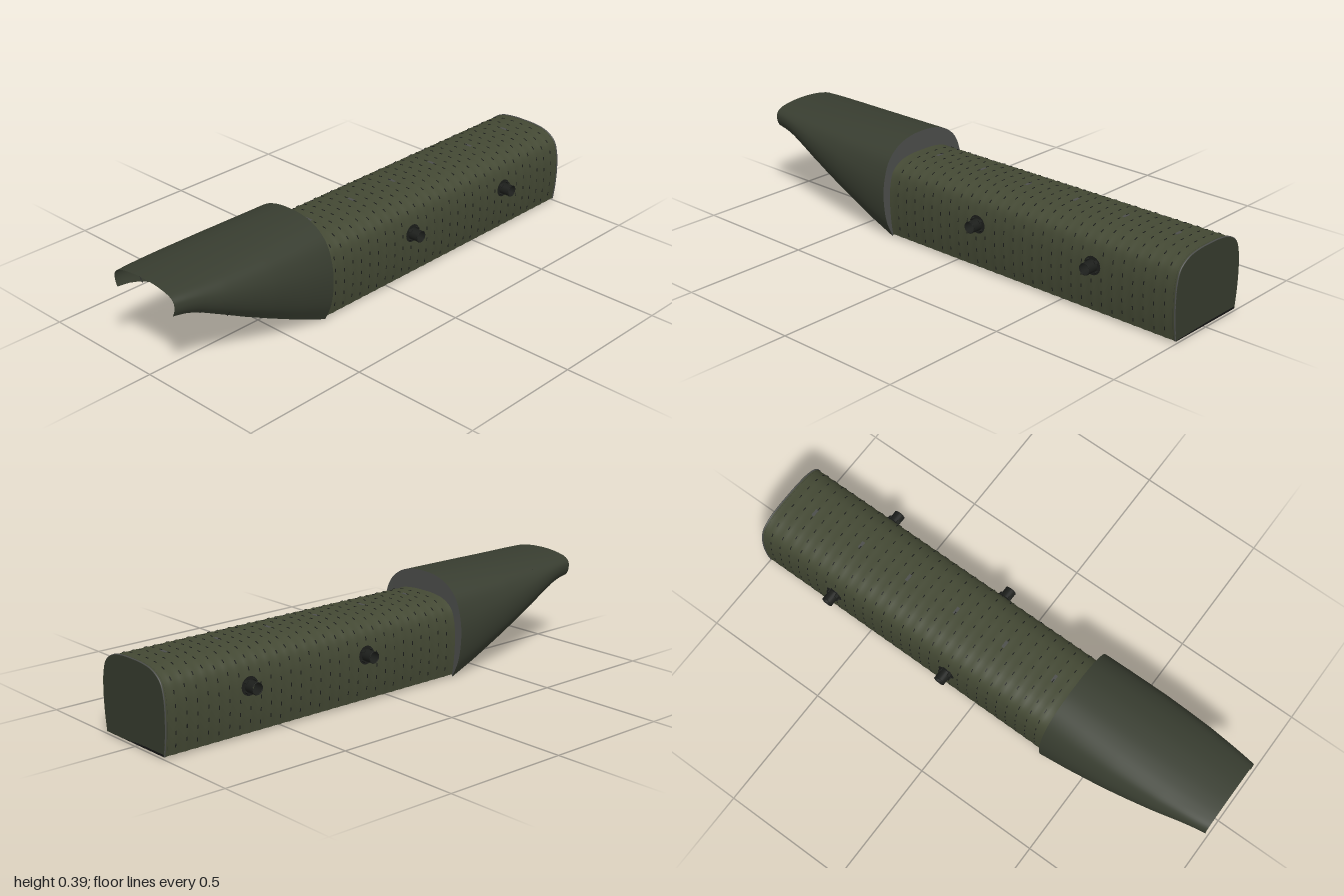
import * as THREE from 'three';
import { mergeGeometries } from 'three/addons/utils/BufferGeometryUtils.js';

const mat = (color, side = THREE.DoubleSide) => new THREE.MeshStandardMaterial({ color, side });
const OLIVE = mat(0x444934), HOOD = mat(0x383d30), WALL = mat(0x363b2d), DARK = mat(0x1c1e1b);
const GREY = mat(0x4c4e4b), FLOOR = mat(0x161616), RUST = mat(0x7a4522), CREAM = mat(0xb3ab88);

const FRONT = 0.33, BACK = -1, VENT_Y = 0.185, VENT_Z = [-0.12, -0.65];

// Half sections, from the foot of the left wall up to the crown
const BODY = [[0.168, 0.012], [0.177, 0.08], [0.18, 0.16], [0.175, 0.22], [0.158, 0.268], [0.115, 0.298], [0.06, 0.309], [0, 0.311]];
const HOOD_REAR = [[0.17, 0.003], [0.2, 0.07], [0.214, 0.16], [0.208, 0.24], [0.18, 0.315], [0.13, 0.36], [0.07, 0.382], [0, 0.388]];
const HOOD_NOSE = [[0.142, 0.288], [0.15, 0.305], [0.153, 0.322], [0.15, 0.34], [0.135, 0.355], [0.1, 0.366], [0.05, 0.373], [0, 0.375]];

// Mirrors a half section and returns a smooth arch at depth z
function archCurve(half, z, grow = 0) {
  const s = 1 + grow;
  const left = half.map(([x, y]) => new THREE.Vector3(x * s, 0.15 + (y - 0.15) * s, z));
  const right = left.slice(0, -1).reverse().map(p => new THREE.Vector3(-p.x, p.y, z));
  return new THREE.CatmullRomCurve3([...left, ...right]);
}
const arch = (half, z, grow) => archCurve(half, z, grow).getPoints(70);

// Skin over a row of arches; skip(point) leaves openings
function loft(rows, skip = () => false) {
  const n = rows[0].length, index = [];
  for (let i = 0; i < rows.length - 1; i++) {
    for (let j = 0; j < n - 1; j++) {
      const a = i * n + j;
      const mid = rows[i][j].clone().add(rows[i + 1][j + 1]).multiplyScalar(0.5);
      if (!skip(mid)) index.push(a, a + 1, a + n, a + 1, a + n + 1, a + n);
    }
  }
  const g = new THREE.BufferGeometry().setFromPoints(rows.flat());
  g.setIndex(index);
  g.computeVertexNormals();
  return g;
}

// Hood section at depth z: the lower edge rises and the sides close in
function hoodHalf(z) {
  const table = [[0.33, 0, 0], [0.45, 0.17, 0.04], [0.6, 0.41, 0.15], [0.7, 0.575, 0.3], [0.8, 0.75, 0.48], [0.9, 0.92, 0.74], [0.95, 0.975, 0.87], [1, 1, 1]];
  let k = 0;
  while (k < table.length - 2 && z > table[k + 1][0]) k++;
  const [z0, y0, x0] = table[k], [z1, y1, x1] = table[k + 1];
  const f = (z - z0) / (z1 - z0);
  const sy = y0 + (y1 - y0) * f, sx = x0 + (x1 - x0) * f;
  return HOOD_REAR.map(([x, y], i) => [x + (HOOD_NOSE[i][0] - x) * sx, y + (HOOD_NOSE[i][1] - y) * sy]);
}

export function createModel() {
  const model = new THREE.Group();
  const add = (name, geometry, material, x = 0, y = 0, z = 0, parent = model) => {
    const m = new THREE.Mesh(geometry, material);
    m.name = name;
    m.position.set(x, y, z);
    parent.add(m);
    return m;
  };
  const box = (name, w, h, d, material, x, y, z, parent) =>
    add(name, new THREE.BoxGeometry(w, h, d), material, x, y, z, parent);

  // Corrugated shell with openings for the vent pipes
  const rows = [], STEPS = 120, RINGS = 30;
  for (let i = 0; i <= STEPS; i++) {
    const wave = 0.004 * Math.cos(i / STEPS * RINGS * Math.PI * 2);
    rows.push(arch(BODY, BACK + (FRONT - BACK) * i / STEPS, wave));
  }
  const inVent = p => Math.abs(p.x) > 0.15 && VENT_Z.some(z => Math.hypot(p.z - z, p.y - VENT_Y) < 0.022);
  add('shell', loft(rows, inVent), OLIVE);

  // Short cleats in rings over the shell
  const cleats = [];
  for (let r = 1; r < RINGS; r++) {
    const curve = archCurve(BODY, BACK + (FRONT - BACK) * r / RINGS, 0.004);
    for (let k = 0; k < 18; k++) {
      const t = (k + 0.5 + 0.3 * (r % 2)) / 18.5;
      const p = curve.getPointAt(t), d = curve.getTangentAt(t);
      if (Math.abs(p.x) > 0.15 && VENT_Z.some(z => Math.hypot(p.z - z, p.y - VENT_Y) < 0.045)) continue;
      const g = new THREE.BoxGeometry(0.014, 0.003, 0.003);
      g.rotateZ(Math.atan2(d.y, d.x));
      cleats.push(g.translate(p.x, p.y, p.z));
    }
  }
  add('cleats', mergeGeometries(cleats), DARK);

  // End wall, its trim and the floor
  const outline = new THREE.Shape(arch(BODY, 0).map(p => new THREE.Vector2(p.x, p.y)));
  add('endWall', new THREE.ExtrudeGeometry(outline, { depth: 0.012, bevelEnabled: false }), WALL, 0, 0, BACK);
  add('endTrim', new THREE.TubeGeometry(archCurve(BODY, BACK + 0.003), 70, 0.003, 6), GREY);
  box('floor', 0.334, 0.008, FRONT - BACK, FLOOR, 0, 0.016, (FRONT + BACK) / 2);

  // Flared hood, the flange closing its rear, and ribs inside
  const hoodRows = [];
  for (let i = 0; i <= 36; i++) {
    const z = FRONT + (1 - FRONT) * i / 36;
    hoodRows.push(arch(hoodHalf(z), z));
  }
  add('hood', loft(hoodRows), HOOD);
  add('hoodFlange', loft([arch(HOOD_REAR, FRONT), arch(BODY, FRONT + 0.001, -0.02)]), GREY);
  for (let i = 1; i < 6; i++) {
    const z = FRONT + i * 0.112;
    const inner = hoodHalf(z).map(([x, y]) => [x - 0.003 * Math.min(1, x / 0.1), y - (x < 0.16 ? 0.003 : 0)]);
    add('hoodRib', new THREE.TubeGeometry(archCurve(inner, z), 60, 0.002, 5), DARK);
  }

  // Vent pipes with collar, lugs and an inner box, on both sides
  for (const side of [1, -1]) {
    for (const z of VENT_Z) {
      const vent = new THREE.Group();
      vent.name = 'vent';
      vent.position.set(0, VENT_Y, z);
      vent.rotation.y = side > 0 ? 0 : Math.PI;
      model.add(vent);
      const pipe = add('pipe', new THREE.CylinderGeometry(0.022, 0.022, 0.055, 24, 1, true), DARK, 0.198, 0, 0, vent);
      pipe.rotation.z = Math.PI / 2;
      const lip = add('pipeLip', new THREE.TorusGeometry(0.0215, 0.0015, 6, 24), DARK, 0.223, 0, 0, vent);
      const collar = add('collar', new THREE.RingGeometry(0.021, 0.035, 24), DARK, 0.182, 0, 0, vent);
      lip.rotation.y = collar.rotation.y = Math.PI / 2;
      for (let k = 0; k < 4; k++) {
        const a = Math.PI / 4 + k * Math.PI / 2;
        const lug = box('lug', 0.014, 0.012, 0.004, DARK, 0.188, 0.027 * Math.sin(a), 0.027 * Math.cos(a), vent);
        lug.rotation.x = -a;
      }
      box('innerBox', 0.016, 0.042, 0.04, DARK, 0.151, 0.041, 0, vent);
    }
  }

  // Ceiling lights
  for (let i = 0; i < 6; i++) box('ceilingLight', 0.03, 0.008, 0.012, GREY, 0, 0.308, -0.87 + i * 0.222);

  // Door with frame and handle, and the steps beneath it
  const w = BACK + 0.014;
  box('door', 0.068, 0.112, 0.006, WALL, -0.097, 0.183, w);
  for (const s of [1, -1]) {
    box('doorJamb', 0.003, 0.118, 0.01, GREY, -0.097 + s * 0.036, 0.183, w);
    box('doorRail', 0.072, 0.003, 0.01, GREY, -0.097, 0.183 + s * 0.058, w);
  }
  box('doorHandle', 0.003, 0.016, 0.008, CREAM, -0.07, 0.184, w + 0.005);
  [0.117, 0.083, 0.052, 0.027].forEach((y, i) => box('step', 0.075, 0.004, 0.03, DARK, -0.097, y, w + 0.015 + i * 0.03));
  box('stepPost', 0.003, 0.2, 0.004, DARK, -0.054, 0.12, w + 0.01);

  // Blank wall plates
  box('lightPlate', 0.064, 0.025, 0.004, mat(0xbdbdbd), 0.078, 0.222, w);
  box('darkPlate', 0.056, 0.037, 0.004, DARK, 0.078, 0.174, w);

  // Generator and cabinets on the floor
  const g = -0.85;
  box('generatorBase', 0.085, 0.006, 0.1, GREY, 0, 0.023, g);
  box('generator', 0.068, 0.056, 0.09, RUST, 0, 0.053, g);
  for (const s of [1, -1]) box('generatorEnd', 0.006, 0.054, 0.08, DARK, s * 0.037, 0.053, g);
  box('generatorCap', 0.025, 0.004, 0.03, DARK, -0.018, 0.082, g);
  add('generatorStack', new THREE.CylinderGeometry(0.007, 0.009, 0.012, 12), DARK, 0.012, 0.086, g);
  box('cabinet', 0.016, 0.048, 0.04, CREAM, 0.062, 0.046, g);
  box('narrowCabinet', 0.006, 0.046, 0.04, CREAM, 0.042, 0.044, g);

  // Benches along both walls
  for (const s of [1, -1]) {
    box('bench', 0.045, 0.004, 0.5, WALL, s * 0.14, 0.067, -0.6);
    for (const z of [-0.82, -0.6, -0.38]) {
      const leg = box('benchLeg', 0.003, 0.046, 0.004, DARK, s * 0.116, 0.044, z);
      leg.rotation.z = s * 0.12;
    }
    add('floorLamp', new THREE.CylinderGeometry(0.007, 0.007, 0.01, 12), RUST, s * 0.128, 0.025, -0.3);
  }
  return model;
}
